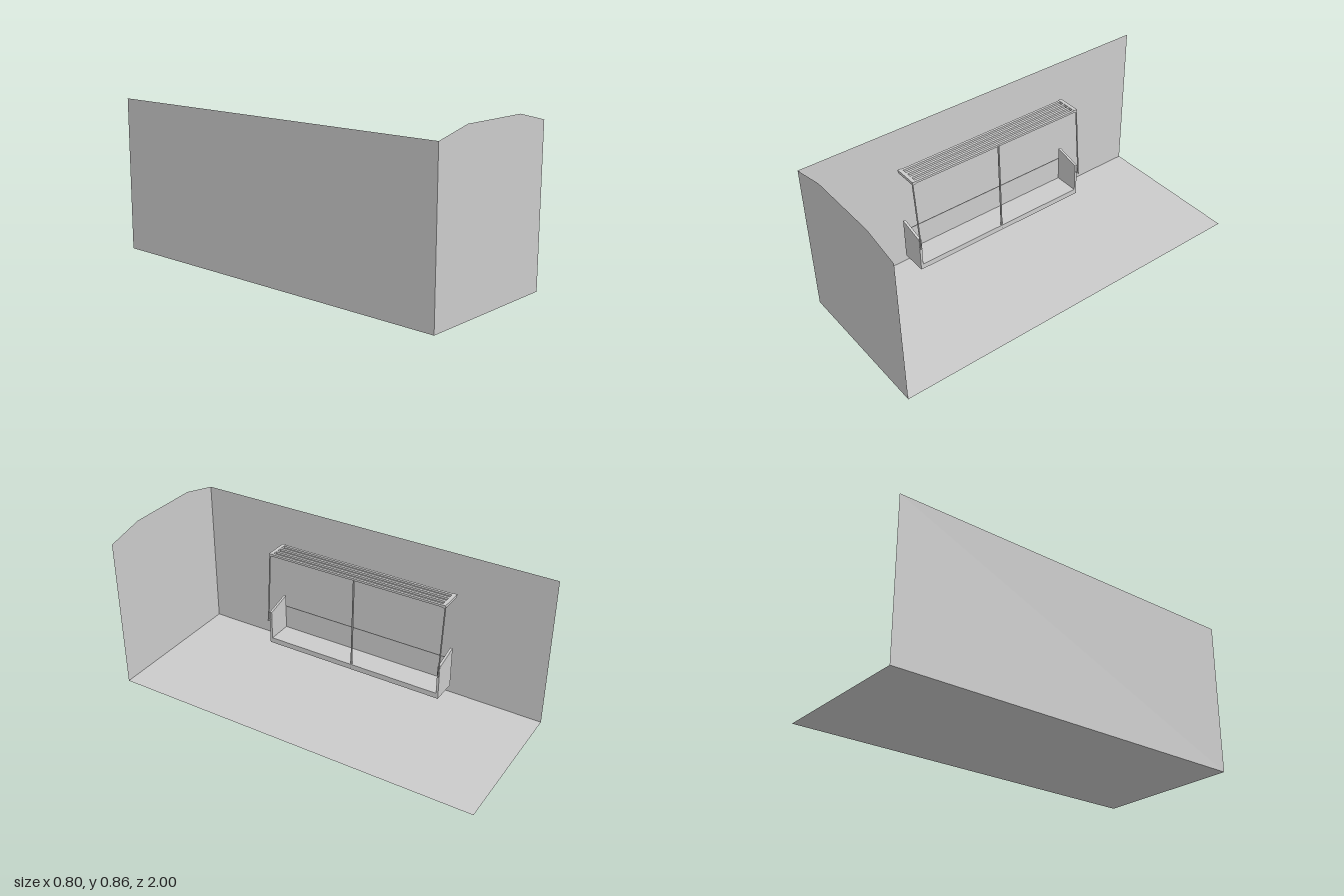
import * as THREE from 'three';

const grey = new THREE.MeshStandardMaterial({ color: 0xcccccc, side: THREE.DoubleSide, flatShading: true });

function add(parent, name, geometry) {
  const mesh = new THREE.Mesh(geometry, grey);
  mesh.name = name;
  parent.add(mesh);
  return mesh;
}

// Box given by its minimum and maximum corners
function box(parent, name, [x0, y0, z0], [x1, y1, z1]) {
  const mesh = add(parent, name, new THREE.BoxGeometry(x1 - x0, y1 - y0, z1 - z0));
  mesh.position.set((x0 + x1) / 2, (y0 + y1) / 2, (z0 + z1) / 2);
  return mesh;
}

// Thin round bar between two points
function bar(parent, name, a, b, radius) {
  const from = new THREE.Vector3(...a), to = new THREE.Vector3(...b);
  const dir = to.clone().sub(from);
  const mesh = add(parent, name, new THREE.CylinderGeometry(radius, radius, dir.length(), 8));
  mesh.position.copy(from).add(to).multiplyScalar(0.5);
  mesh.quaternion.setFromUnitVectors(new THREE.Vector3(0, 1, 0), dir.normalize());
  return mesh;
}

const outline = (points) => new THREE.Shape(points.map(([x, y]) => new THREE.Vector2(x, y)));

export function createModel() {
  const model = new THREE.Group();
  model.name = 'compartment';

  // Room shell: floor, long side wall and arched end wall, all thin sheets
  add(model, 'floor', new THREE.PlaneGeometry(0.8, 2).rotateX(-Math.PI / 2));
  const wall = add(model, 'sideWall', new THREE.PlaneGeometry(2, 0.81).rotateY(Math.PI / 2));
  wall.position.set(-0.4, 0.405, 0);
  const end = add(model, 'endWall', new THREE.ShapeGeometry(outline([
    [-0.4, 0], [0.4, 0], [0.4, 0.81], [0.2, 0.857], [-0.2, 0.857], [-0.4, 0.81],
  ])));
  end.position.z = 1;

  // Bench: seat, backrest and end panels with sloping tops
  const bench = new THREE.Group();
  bench.name = 'bench';
  model.add(bench);
  box(bench, 'seat', [-0.36, 0.07, -0.5], [-0.22, 0.1, 0.5]);
  box(bench, 'backrest', [-0.362, 0.07, -0.5], [-0.358, 0.233, 0.5]);
  const panel = outline([[-0.36, 0.07], [-0.22, 0.07], [-0.22, 0.26], [-0.36, 0.297]]);
  for (const z of [-0.51, 0.497]) {
    const mesh = add(bench, 'endPanel', new THREE.ExtrudeGeometry(panel, { depth: 0.013, bevelEnabled: false }));
    mesh.position.z = z;
  }

  // Overhead rack: four slats between two end bars
  const rack = new THREE.Group();
  rack.name = 'overheadRack';
  model.add(rack);
  for (let i = 0; i < 4; i++) {
    const x = -0.355 + i * 0.0375;
    box(rack, 'slat', [x - 0.007, 0.597, -0.492], [x + 0.007, 0.609, 0.492]);
  }
  for (const s of [-1, 1]) {
    const z = s * 0.501;
    box(rack, 'endBar', [-0.365, 0.594, z - 0.01], [-0.235, 0.61, z + 0.01]);
  }

  // Supports: sloping end posts with pins, and a centre post
  for (const s of [-1, 1]) {
    const z = s * 0.509;
    bar(model, 'endPost', [-0.24, 0.6, z], [-0.207, 0.213, z], 0.004);
    bar(model, 'postPin', [-0.22, 0.217, z], [-0.203, 0.217, z], 0.005);
  }
  bar(model, 'centrePost', [-0.238, 0.6, 0], [-0.224, 0.07, 0], 0.005);

  return model;
}
